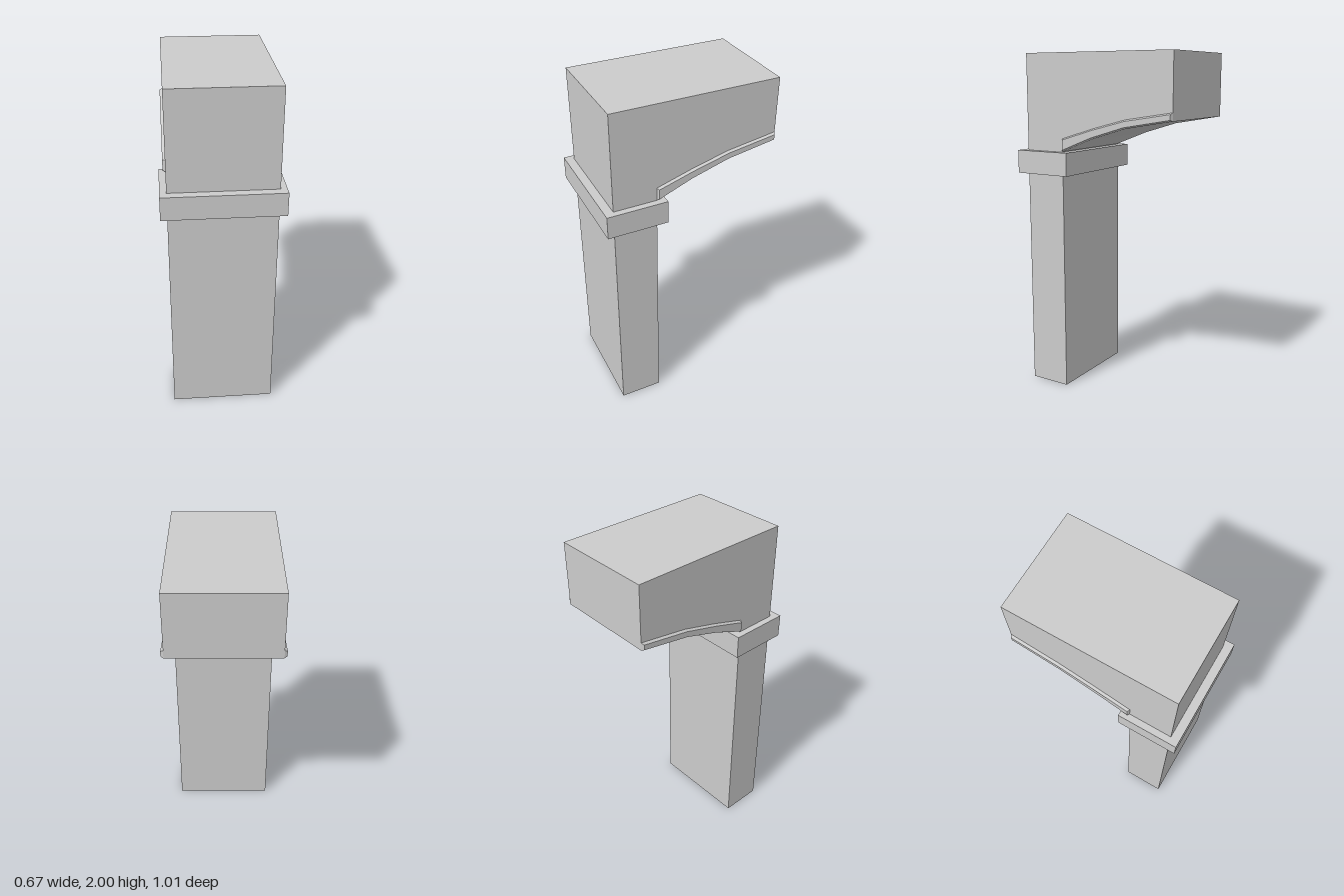
import * as THREE from 'three';

const material = new THREE.MeshStandardMaterial({ color: 0xcccccc, flatShading: true });

// Box given by its extents, centred on x
function box(name, width, y0, y1, z0, z1) {
  const mesh = new THREE.Mesh(new THREE.BoxGeometry(width, y1 - y0, z1 - z0), material);
  mesh.position.set(0, (y0 + y1) / 2, (z0 + z1) / 2);
  mesh.name = name;
  return mesh;
}

// Side profile of [z, y] points extruded across x, optionally with bevelled side faces
function sideExtrude(name, points, width, bevel) {
  const shape = new THREE.Shape(points.map(([z, y]) => new THREE.Vector2(-z, y)));
  const geometry = new THREE.ExtrudeGeometry(shape, { depth: width, bevelEnabled: false, ...bevel });
  geometry.translate(0, 0, -width / 2).rotateY(Math.PI / 2);
  const mesh = new THREE.Mesh(geometry, material);
  mesh.name = name;
  return mesh;
}

export function createModel() {
  const group = new THREE.Group();
  group.name = 'archPillar';

  const front = 0.455, inner = 0.205, back = -0.505;
  const archLower = [[inner, 1.443], [0, 1.523], [-0.215, 1.588], [back, 1.637]];
  const archUpper = [[inner, 1.517], [0, 1.58], [-0.215, 1.637], [back, 1.682]];

  // Shaft and the wider capital slab
  group.add(box('pillarShaft', 0.6, 0, 1.305, inner, front));
  group.add(box('capital', 0.674, 1.305, 1.44, 0.155, 0.505));

  // Upper masonry resting on the arch band
  group.add(sideExtrude('upperBlock',
    [[front, 1.44], [front, 2], [back, 2], ...[...archUpper].reverse(), [inner, 1.44]], 0.6));

  // Arch band, standing proud of both sides with chamfered rims
  group.add(sideExtrude('archBand', [...archLower, ...[...archUpper].reverse()], 0.6, {
    bevelEnabled: true, bevelThickness: 0.015, bevelSize: 0.008, bevelOffset: -0.008, bevelSegments: 1,
  }));

  return group;
}
